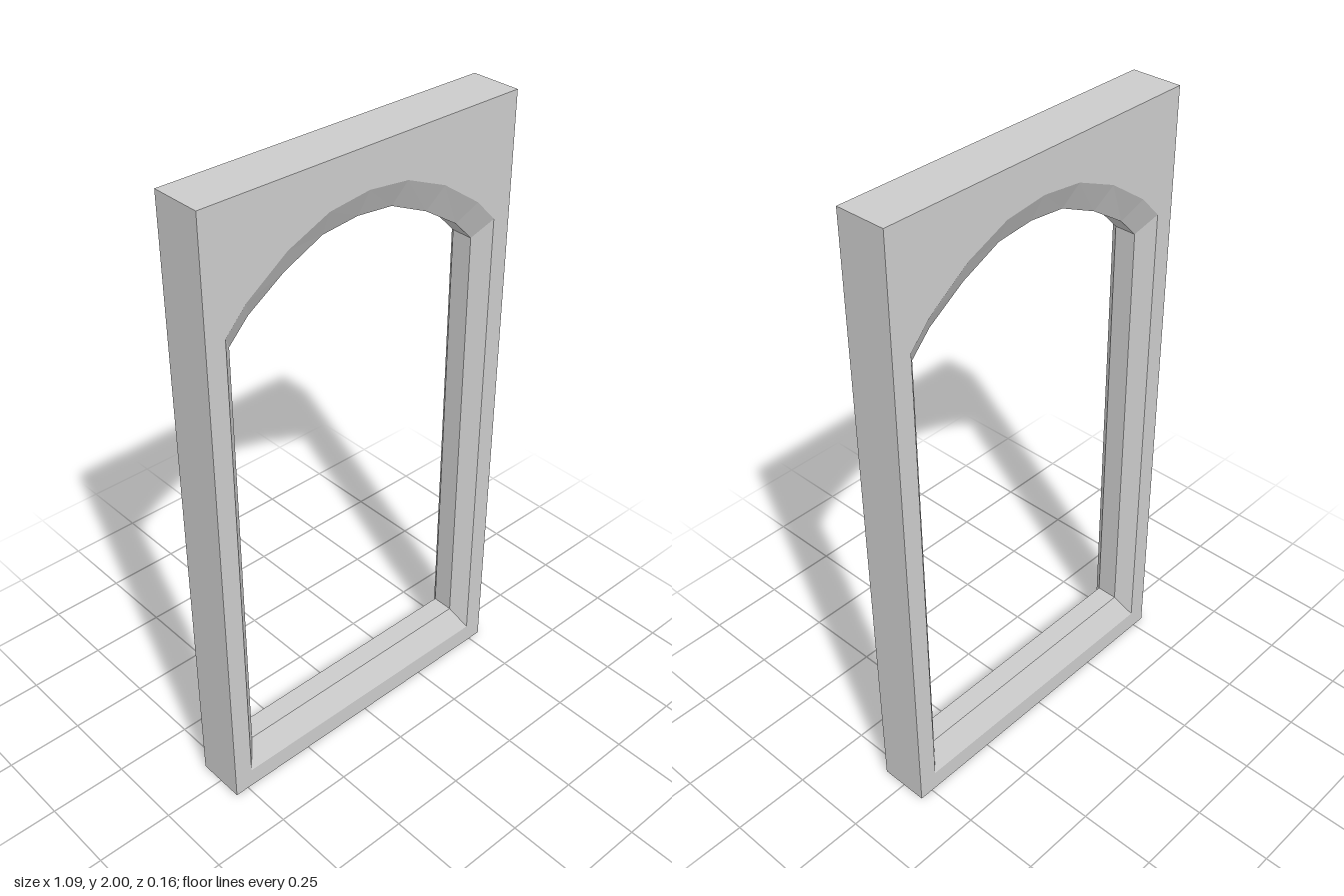
import * as THREE from 'three';

const W = 0.545, H = 2, FACE = 0.08, THROAT = 0.035;

// Closed loop running up the right half of an opening and mirrored, clockwise from the front
function opening(half, sill) {
  const right = [...half, [half[half.length - 1][0], sill]];
  const left = right.slice(1).reverse().map(([x, y]) => [-x, y]);
  return [...left, ...right].map(([x, y]) => new THREE.Vector2(x, y));
}

// Flat-shaded wall through matching loops, ordered from front to back
function wall(rings) {
  const pos = [];
  const put = (r, i) => {
    const p = r.loop[i % r.loop.length];
    pos.push(p.x, p.y, r.z);
  };
  for (let k = 0; k < rings.length - 1; k++) {
    const f = rings[k], b = rings[k + 1];
    for (let i = 0; i < f.loop.length; i++) {
      put(f, i); put(b, i); put(b, i + 1);
      put(f, i); put(b, i + 1); put(f, i + 1);
    }
  }
  const g = new THREE.BufferGeometry();
  g.setAttribute('position', new THREE.Float32BufferAttribute(pos, 3));
  g.computeVertexNormals();
  return g;
}

export function createModel() {
  const group = new THREE.Group();
  group.name = 'archedFrame';
  const material = new THREE.MeshStandardMaterial({ color: 0xcccccc, flatShading: true });
  const add = (name, geometry) => {
    const mesh = new THREE.Mesh(geometry, material);
    mesh.name = name;
    group.add(mesh);
    return mesh;
  };

  const outline = [[-W, 0], [W, 0], [W, H], [-W, H]].map(([x, y]) => new THREE.Vector2(x, y));
  // Wide opening on the faces, narrow opening at the throat
  const wide = opening([[0, 1.878], [0.137, 1.862], [0.277, 1.803], [0.412, 1.709], [0.483, 1.634]], 0.067);
  const narrow = opening([[0, 1.789], [0.122, 1.777], [0.253, 1.718], [0.375, 1.639], [0.44, 1.572]], 0.147);

  // Front and back faces
  const shape = new THREE.Shape(outline);
  shape.holes.push(new THREE.Path(wide));
  const face = new THREE.ShapeGeometry(shape);
  add('frontFace', face).position.z = FACE;
  const back = add('backFace', face);
  back.position.z = -FACE;
  back.rotation.y = Math.PI;

  // Outer edge
  add('outerEdge', wall([{ loop: outline, z: FACE }, { loop: outline, z: -FACE }]));

  // Reveal: bevel, flat throat, bevel
  add('openingReveal', wall([
    { loop: wide, z: FACE },
    { loop: narrow, z: THROAT },
    { loop: narrow, z: -THROAT },
    { loop: wide, z: -FACE },
  ]));
  return group;
}
